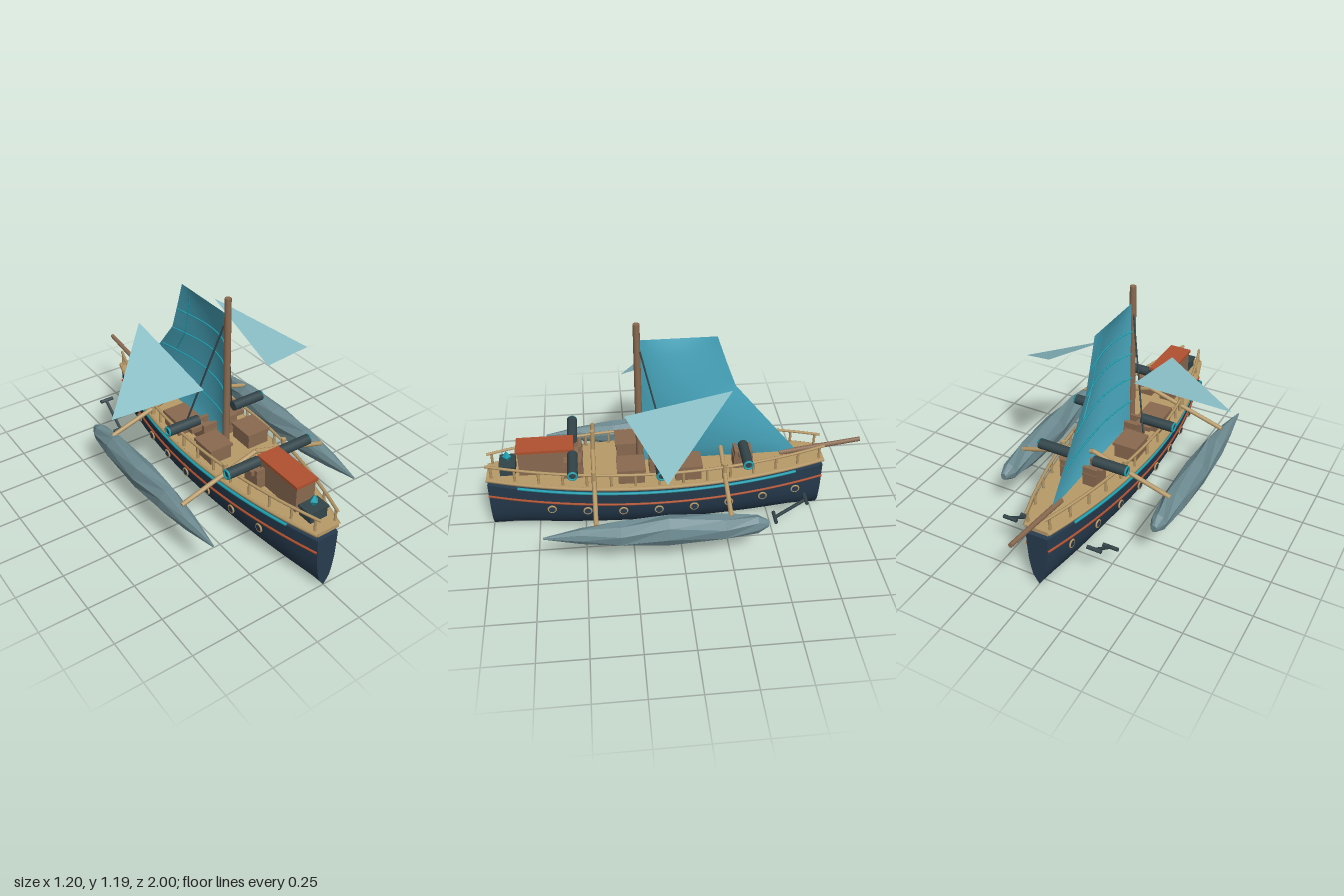
import * as THREE from 'three';
import { toCreasedNormals } from 'three/addons/utils/BufferGeometryUtils.js';

const mat = (name, color, side = THREE.FrontSide) => {
  const m = new THREE.MeshStandardMaterial({ color, side });
  m.name = name;
  return m;
};

export function createModel() {
  const root = new THREE.Group();
  const navy = mat('navy hull', 0x273c50);
  const tan = mat('tan timber', 0xb89a68);
  const brown = mat('brown timber', 0x8a6a50);
  const dark = mat('dark iron', 0x33454a);
  const teal = mat('teal trim', 0x1fa3b3);
  const orange = mat('orange paint', 0xb0512f);
  const slate = mat('slate float', 0x6c8a90);
  const sailMat = mat('blue sail', 0x48a6bd, THREE.DoubleSide);
  const wingMat = mat('pale wing', 0x8cc0c8, THREE.DoubleSide);
  const V = (x, y, z) => new THREE.Vector3(x, y, z);

  const add = (name, geo, m, x = 0, y = 0, z = 0, parent = root) => {
    const mesh = new THREE.Mesh(geo, m);
    mesh.name = name;
    mesh.position.set(x, y, z);
    parent.add(mesh);
    return mesh;
  };
  const box = (name, m, w, h, d, x, y, z) => add(name, new THREE.BoxGeometry(w, h, d), m, x, y, z);
  // round bar between two points
  const bar = (name, m, a, b, r, r2 = r, sides = 10) => {
    const mesh = add(name, new THREE.CylinderGeometry(r2, r, a.distanceTo(b), sides), m);
    mesh.position.copy(a).add(b).multiplyScalar(0.5);
    mesh.quaternion.setFromUnitVectors(V(0, 1, 0), b.clone().sub(a).normalize());
    return mesh;
  };
  const tube = (name, m, pts, r, sides = 6) =>
    add(name, new THREE.TubeGeometry(new THREE.CatmullRomCurve3(pts), 40, r, sides), m);

  // closed body from rings along z; each ring runs counter-clockwise seen from +z
  const loft = (zs, ring) => {
    const pos = [], idx = [];
    let n = 0;
    zs.forEach((z) => {
      const pts = ring(z);
      n = pts.length;
      pts.forEach(([x, y]) => pos.push(x, y, z));
    });
    for (let i = 0; i < zs.length - 1; i++)
      for (let j = 0; j < n; j++) {
        const k = (j + 1) % n, a = i * n, b = a + n;
        idx.push(a + j, a + k, b + j, a + k, b + k, b + j);
      }
    const last = (zs.length - 1) * n;
    for (let j = 1; j < n - 1; j++) idx.push(0, j + 1, j, last, last + j, last + j + 1);
    const g = new THREE.BufferGeometry();
    g.setAttribute('position', new THREE.Float32BufferAttribute(pos, 3));
    g.setIndex(idx);
    return g;
  };

  // hull plan: half width along the length, t from -1 to 1
  const MID = 0.105, HALF = 0.895;
  const zAt = (t) => MID + HALF * t;
  const width = (z) => 0.21 - 0.15 * ((z - MID) / HALF) ** 2;
  const steps = (n, a = -1, b = 1) => Array.from({ length: n + 1 }, (_, i) => a + (b - a) * i / n);
  const stations = steps(28).map(zAt);

  // hull
  const half = [[0.28, 0.028], [0.55, 0.055], [0.74, 0.105], [0.88, 0.16], [0.95, 0.23], [1, 0.31]];
  const section = [[0, 0.003], ...half, ...half.slice().reverse().map(([f, y]) => [-f, y])];
  add('hull', toCreasedNormals(loft(stations, (z) => section.map(([f, y]) => [f * width(z), y])), 0.8), navy);

  // deck slab
  add('deck', toCreasedNormals(loft(stations, (z) => {
    const w = width(z) + 0.003;
    return [[-w, 0.337], [w, 0.337], [w, 0.358], [-w, 0.358]];
  }), 0.6), tan);
  box('deckSupport', navy, 0.1, 0.03, 1.7, 0, 0.323, MID);

  const edge = (s, y, f, off, a = -1, b = 1) =>
    steps(16, a, b).map((t) => V(s * (width(zAt(t)) * f + off), y, zAt(t)));

  for (const s of [-1, 1]) {
    // hull trim and railings
    tube('tealTrim', teal, edge(s, 0.316, 1, 0.003, -0.82, 0.82), 0.008);
    tube('orangeStripe', orange, edge(s, 0.235, 0.953, 0.002), 0.007);
    tube('lowerRail', tan, edge(s, 0.347, 1, 0.004), 0.011);
    tube('topRail', tan, edge(s, 0.428, 1, -0.008), 0.008);
    for (const t of steps(14, -0.97, 0.97)) {
      const x = s * (width(zAt(t)) - 0.008);
      bar('railPost', tan, V(x, 0.35, zAt(t)), V(x, 0.428, zAt(t)), 0.007, 0.007, 6);
    }

    // portholes
    for (let i = 0; i < 8; i++) {
      const z = 0.67 - i * 0.187, x = s * (width(z) * 0.92 + 0.004);
      add('portholeRing', new THREE.TorusGeometry(0.02, 0.005, 6, 16), tan, x, 0.188, z).rotation.y = Math.PI / 2;
      add('portholeGlass', new THREE.CylinderGeometry(0.018, 0.018, 0.008, 16), navy, x, 0.188, z).rotation.z = Math.PI / 2;
    }

    // cannons on their carriages
    for (const [z, x0] of [[-0.345, 0.065], [0.1, 0.11], [0.545, 0.065]]) {
      const x1 = x0 + 0.183;
      box('carriage', brown, 0.08, 0.07, 0.1, s * 0.065, 0.393, z);
      for (const d of [-0.037, 0.037]) box('carriageCheek', brown, 0.08, 0.045, 0.018, s * 0.065, 0.44, z + d);
      box('carriageBed', brown, x0 - 0.02, 0.025, 0.05, s * (0.065 + x0 / 2), 0.44, z);
      bar('cannonBarrel', dark, V(s * x0, 0.483, z), V(s * x1, 0.483, z), 0.027, 0.027, 14);
      add('muzzleRing', new THREE.TorusGeometry(0.022, 0.006, 6, 16), teal, s * x1, 0.483, z).rotation.y = Math.PI / 2;
    }

    // deck crates with lids
    for (const z of [-0.047, 0.247]) {
      box('crate', brown, 0.122, 0.075, 0.135, s * 0.117, 0.393, z);
      box('crateLid', brown, 0.135, 0.016, 0.148, s * 0.117, 0.436, z);
    }

    // outrigger arms and faceted float
    for (const z of [-0.235, 0.44]) {
      bar('outriggerArm', tan, V(0, 0.447, z), V(s * 0.435, 0.312, z), 0.012, 0.012, 8);
      const x = s * (width(z) - 0.008);
      bar('armPost', tan, V(x, 0.34, z), V(x, 0.45, z), 0.013, 0.013, 8);
    }
    const profile = { '-0.425': 0.25, '-0.37': 0.62, '-0.2': 0.9, '0.08': 1, '0.32': 0.86, '0.52': 0.52, '0.705': 0.07 };
    const fz = Object.keys(profile).map(Number).sort((a, b) => a - b);
    const float = loft(fz, (z) => Array.from({ length: 8 }, (_, j) => {
      const a = (j + 0.35 + 0.5 * (fz.indexOf(z) % 2)) * Math.PI / 4, r = profile[String(z)];
      return [Math.cos(a) * 0.067 * r, Math.sin(a) * 0.083 * r];
    }));
    add('outriggerFloat', toCreasedNormals(float, 0.01), slate, s * 0.437, 0.253, 0);

    // side wing sail
    const wing = new THREE.BufferGeometry().setFromPoints(
      [V(s * 0.233, 0.93, -0.25), V(s * 0.193, 0.79, 0.273), V(s * 0.602, 0.677, 0.098)]);
    wing.computeVertexNormals();
    add('wingSail', wing, wingMat);

    // shrouds
    bar('shroud', dark, V(s * 0.012, 1.04, 0.178), V(s * 0.155, 0.4, 0.03), 0.005, 0.005, 6);

    // anchors
    const top = V(s * 0.243, 0.228, -0.662), foot = V(s * 0.243, 0.116, -0.505);
    bar('anchorShaft', dark, top, foot, 0.009, 0.009, 8);
    bar('anchorStock', dark, V(s * 0.2, 0.228, -0.662), V(s * 0.278, 0.228, -0.662), 0.01, 0.01, 8);
    bar('anchorFluke', dark, V(s * 0.2, 0.116, -0.505), V(s * 0.286, 0.116, -0.505), 0.01, 0.01, 8);
  }

  // mast and bowsprit
  bar('mast', brown, V(0, 0.34, 0.193), V(0, 1.19, 0.193), 0.019, 0.017, 12);
  bar('bowsprit', brown, V(0, 0.362, -0.56), V(0, 0.422, -0.998), 0.015, 0.012, 10);

  // main sail: straight luff, bent leech, bellied to one side
  const leech = [[0.37, -0.655], [0.81, -0.305], [0.95, -0.255], [1.1, -0.205]];
  const sailPoint = (u, v) => {
    const y = 0.37 + 0.73 * v;
    let i = 0;
    while (i < leech.length - 2 && y > leech[i + 1][0]) i++;
    const [[y0, z0], [y1, z1]] = [leech[i], leech[i + 1]];
    const zl = z0 + (z1 - z0) * (y - y0) / (y1 - y0);
    const belly = 0.05 * Math.sin(Math.PI * u ** 0.8) * Math.sin(Math.PI * v) ** 0.7;
    return V(belly || 0, y, 0.178 + (zl - 0.178) * u);
  };
  const sail = new THREE.PlaneGeometry(1, 1, 16, 20);
  const p = sail.attributes.position;
  for (let i = 0; i < p.count; i++) {
    const q = sailPoint(p.getX(i) + 0.5, Math.min(1, Math.max(0, p.getY(i) + 0.5)));
    p.setXYZ(i, q.x, q.y, q.z);
  }
  sail.computeVertexNormals();
  add('mainSail', sail, sailMat);
  const inner = (u, v) => sailPoint(u, v).add(V(-0.006, 0, 0));
  for (const v of [0.2, 0.4, 0.6, 0.78])
    tube('sailBatten', teal, steps(10, 0, 0.97).map((u) => inner(u, v)), 0.004);
  tube('sailSeam', teal, steps(10, 0.42, 0.95).map((v) => inner(0.8, v)), 0.003);

  // cabin with painted roof
  box('cabin', brown, 0.112, 0.145, 0.275, 0, 0.43, 0.69);
  box('cabinRoof', orange, 0.128, 0.016, 0.298, 0, 0.507, 0.687);
  box('cabinDoor', dark, 0.05, 0.09, 0.006, 0, 0.405, 0.552);

  // crystal lamp on its pedestal
  box('lampBase', dark, 0.1, 0.055, 0.08, 0, 0.385, 0.888);
  box('lampPlate', dark, 0.116, 0.012, 0.085, 0, 0.414, 0.888);
  add('lampCrystal', new THREE.OctahedronGeometry(0.024), teal, 0, 0.447, 0.888).scale.y = 1.5;

  return root;
}
